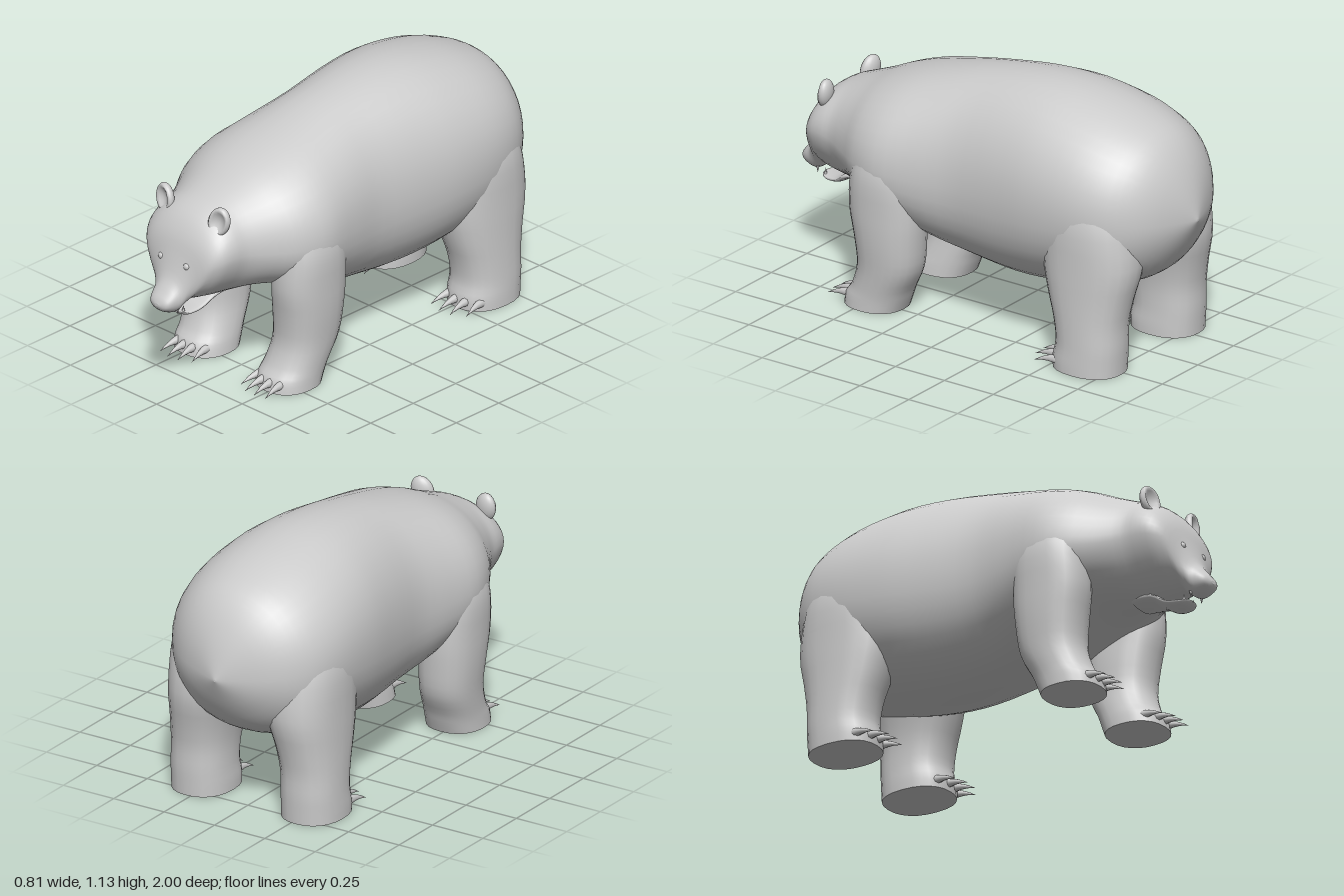
import * as THREE from 'three';

const material = new THREE.MeshStandardMaterial({ color: 0xcccccc, roughness: 0.9 });

function addMesh(parent, name, geometry) {
  const mesh = new THREE.Mesh(geometry, material);
  mesh.name = name;
  parent.add(mesh);
  return mesh;
}

// Smoothly resample a list of section rows (Catmull-Rom on every column)
function resample(rows, steps) {
  const out = [];
  const at = (i) => rows[Math.min(Math.max(i, 0), rows.length - 1)];
  for (let i = 0; i < rows.length - 1; i++) {
    for (let s = 0; s < steps; s++) {
      const t = s / steps;
      out.push(rows[i].map((p1, k) => {
        const p0 = at(i - 1)[k], p2 = at(i + 1)[k], p3 = at(i + 2)[k];
        return 0.5 * (2 * p1 + (p2 - p0) * t + (2 * p0 - 5 * p1 + 4 * p2 - p3) * t * t
          + (3 * p1 - p0 - 3 * p2 + p3) * t * t * t);
      }));
    }
  }
  out.push(rows[rows.length - 1]);
  return out;
}

// Skin closed rings of points, with flat caps at both ends
function loft(rings) {
  const n = rings[0].length, pos = [], idx = [];
  rings.forEach((r) => r.forEach((p) => pos.push(...p)));
  for (let i = 0; i < rings.length - 1; i++) {
    for (let j = 0; j < n; j++) {
      const a = i * n + j, b = i * n + (j + 1) % n;
      idx.push(a, b, a + n, b, b + n, a + n);
    }
  }
  [rings[0], rings[rings.length - 1]].forEach((r, end) => {
    const base = pos.length / 3;
    r.forEach((p) => pos.push(...p));
    pos.push(...[0, 1, 2].map((k) => r.reduce((sum, p) => sum + p[k], 0) / n));
    for (let j = 0; j < n; j++) {
      const a = base + j, b = base + (j + 1) % n;
      if (end) idx.push(base + n, a, b);
      else idx.push(base + n, b, a);
    }
  });
  const g = new THREE.BufferGeometry();
  g.setAttribute('position', new THREE.Float32BufferAttribute(pos, 3));
  g.setIndex(idx);
  g.computeVertexNormals();
  return g;
}

const curvePower = (v, p) => Math.sign(v) * Math.pow(Math.abs(v), 2 / p);

// Rows along z: z, top, bottom, half width, height of widest point, lower roundness
function trunk(rows, steps, sides) {
  return loft(resample(rows, steps).map(([z, top, bottom, hw, yw, p]) =>
    Array.from({ length: sides }, (_, j) => {
      const a = (j / sides) * Math.PI * 2, c = Math.cos(a), s = Math.sin(a);
      const e = s > 0 ? 2.1 : p;
      return [hw * curvePower(c, e), yw + curvePower(s, e) * (s > 0 ? top - yw : yw - bottom), z];
    })));
}

// Rows along y: y, inner x, outer x, back z, front z
function limb(rows, side) {
  const n = 24;
  return loft(resample(rows, 3).map(([y, x0, x1, z0, z1]) =>
    Array.from({ length: n }, (_, j) => {
      const a = (j / n) * Math.PI * 2;
      return [
        side * (x0 + x1) / 2 + curvePower(Math.cos(a), 2.3) * (x1 - x0) / 2, y,
        (z0 + z1) / 2 - curvePower(Math.sin(a), 2.3) * (z1 - z0) / 2,
      ];
    })));
}

const bodyRows = [
  [-1.0, 0.655, 0.645, 0.005, 0.65, 2],
  [-0.97, 0.78, 0.58, 0.1, 0.66, 2],
  [-0.92, 0.9, 0.49, 0.215, 0.67, 2],
  [-0.85, 0.99, 0.4, 0.305, 0.68, 2.1],
  [-0.75, 1.045, 0.34, 0.37, 0.69, 2.2],
  [-0.6, 1.095, 0.3, 0.402, 0.7, 2.2],
  [-0.4, 1.13, 0.26, 0.4, 0.69, 2.2],
  [-0.2, 1.13, 0.245, 0.375, 0.67, 2.2],
  [0.02, 1.1, 0.265, 0.352, 0.65, 2.2],
  [0.2, 1.06, 0.305, 0.375, 0.65, 2.2],
  [0.37, 1.015, 0.37, 0.4, 0.66, 2.2],
  [0.5, 0.97, 0.42, 0.368, 0.66, 2.1],
  [0.6, 0.925, 0.43, 0.305, 0.66, 1.9],
  [0.7, 0.885, 0.425, 0.25, 0.67, 1.75],
  [0.77, 0.855, 0.43, 0.237, 0.68, 1.7],
  [0.83, 0.81, 0.44, 0.22, 0.67, 1.65],
  [0.875, 0.74, 0.445, 0.178, 0.64, 1.6],
  [0.902, 0.655, 0.425, 0.11, 0.56, 1.8],
  [0.93, 0.57, 0.41, 0.078, 0.49, 2],
  [0.965, 0.52, 0.42, 0.063, 0.475, 2.1],
  [0.99, 0.49, 0.437, 0.045, 0.465, 2.1],
  [1.0, 0.468, 0.455, 0.012, 0.462, 2],
];

const jawRows = [
  [0.64, 0.47, 0.425, 0.08, 0.45, 2],
  [0.74, 0.455, 0.415, 0.085, 0.44, 2],
  [0.8, 0.415, 0.383, 0.072, 0.405, 2],
  [0.86, 0.405, 0.377, 0.06, 0.395, 2],
  [0.89, 0.405, 0.388, 0.04, 0.4, 2],
  [0.9, 0.403, 0.398, 0.01, 0.4, 2],
];

const frontLegRows = [
  [0, 0.11, 0.365, 0.33, 0.6],
  [0.05, 0.115, 0.365, 0.31, 0.59],
  [0.1, 0.123, 0.367, 0.29, 0.555],
  [0.2, 0.137, 0.377, 0.24, 0.525],
  [0.33, 0.14, 0.392, 0.222, 0.535],
  [0.47, 0.15, 0.4, 0.215, 0.555],
  [0.64, 0.15, 0.4, 0.23, 0.54],
  [0.82, 0.1, 0.34, 0.28, 0.5],
];

const hindLegRows = [
  [0, 0.14, 0.405, -0.805, -0.49],
  [0.05, 0.14, 0.405, -0.808, -0.49],
  [0.12, 0.143, 0.403, -0.812, -0.505],
  [0.22, 0.14, 0.401, -0.815, -0.49],
  [0.33, 0.12, 0.4, -0.835, -0.455],
  [0.48, 0.08, 0.4, -0.865, -0.42],
  [0.68, 0.04, 0.395, -0.84, -0.43],
  [0.85, 0.03, 0.33, -0.78, -0.5],
];

// Curved claw pointing along +z
function clawGeometry() {
  const g = new THREE.ConeGeometry(0.021, 0.12, 8, 5);
  g.rotateX(Math.PI / 2);
  const p = g.attributes.position;
  for (let i = 0; i < p.count; i++) {
    const t = p.getZ(i) / 0.12 + 0.5;
    p.setY(i, p.getY(i) * 1.15 + 0.012 * t - 0.035 * t * t);
  }
  g.computeVertexNormals();
  return g;
}

// Rounded ear with a hollow front
function earGeometry() {
  const g = new THREE.SphereGeometry(1, 20, 14);
  const p = g.attributes.position;
  for (let i = 0; i < p.count; i++) {
    const x = p.getX(i), y = p.getY(i), z = p.getZ(i);
    const dent = z > 0 ? 1.1 * Math.max(0, 1 - (x * x + y * y) * 1.5) : 0;
    p.setXYZ(i, x * 0.05, y * 0.065, (z - dent) * 0.032);
  }
  g.computeVertexNormals();
  return g;
}

export function createModel() {
  const bear = new THREE.Group();
  bear.name = 'bear';

  addMesh(bear, 'bodyAndHead', trunk(bodyRows, 3, 40));
  addMesh(bear, 'lowerJaw', trunk(jawRows, 3, 20));

  const claw = clawGeometry(), ear = earGeometry();
  const eye = new THREE.SphereGeometry(0.017, 16, 12);
  const fang = new THREE.ConeGeometry(0.007, 0.03, 8);

  for (const side of [1, -1]) {
    const sideName = side > 0 ? 'left' : 'right';

    // Legs, each with four claws following the front edge of the foot
    const legs = [['Front', frontLegRows, [0.15, 0.2, 0.25, 0.3]],
      ['Hind', hindLegRows, [0.2, 0.26, 0.315, 0.37]]];
    for (const [place, rows, clawXs] of legs) {
      const leg = new THREE.Group();
      leg.name = `${sideName}${place}Leg`;
      bear.add(leg);
      addMesh(leg, 'leg', limb(rows, side));
      const [, x0, x1, z0, z1] = rows[1];
      for (const x of clawXs) {
        const d = Math.abs((x - (x0 + x1) / 2) / ((x1 - x0) / 2));
        const edge = (z0 + z1) / 2 + (z1 - z0) / 2 * Math.pow(1 - Math.pow(d, 2.3), 1 / 2.3);
        const mesh = addMesh(leg, 'claw', claw);
        mesh.position.set(side * x, 0.036, edge + 0.035);
        mesh.rotation.y = side * (x - (x0 + x1) / 2) * 1.5;
      }
    }

    // Ears, eyes and fangs
    const earMesh = addMesh(bear, `${sideName}Ear`, ear);
    earMesh.position.set(side * 0.157, 0.828, 0.79);
    earMesh.rotation.set(-0.1, side * 0.2, side * -0.25);
    addMesh(bear, `${sideName}Eye`, eye).position.set(side * 0.073, 0.628, 0.893);
    const upper = addMesh(bear, `${sideName}UpperFang`, fang);
    upper.position.set(side * 0.04, 0.415, 0.915);
    upper.rotation.x = Math.PI;
    addMesh(bear, `${sideName}LowerFang`, fang).position.set(side * 0.035, 0.415, 0.878);
  }
  return bear;
}
